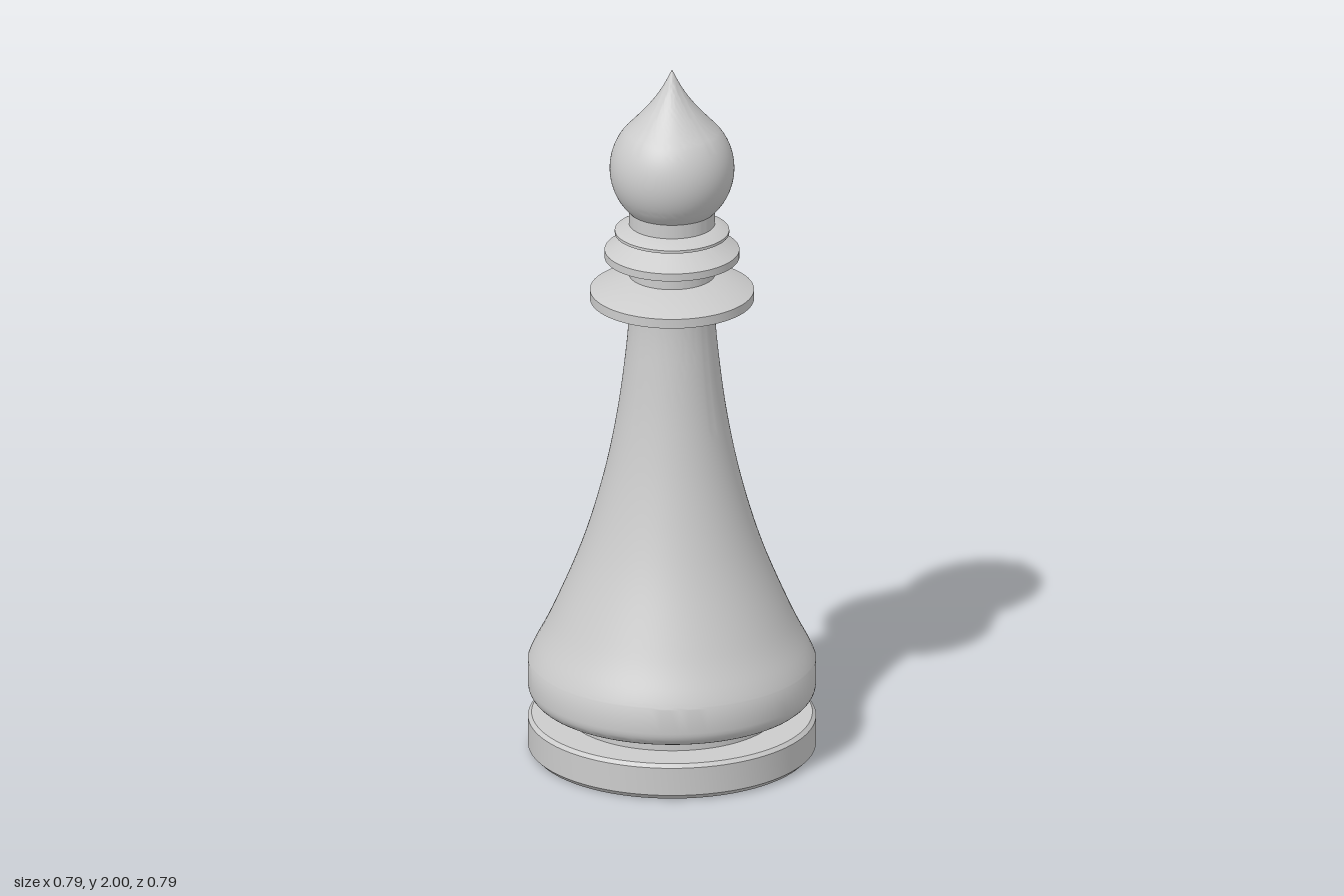
import * as THREE from 'three';
import { toCreasedNormals } from 'three/addons/utils/BufferGeometryUtils.js';

const SEGMENTS = 96;
const v = ([r, y]) => new THREE.Vector2(r, y);
const smooth = (points, n) => new THREE.SplineCurve(points.map(v)).getPoints(n);

export function createModel() {
  const model = new THREE.Group();
  model.name = 'chessBishop';
  const material = new THREE.MeshStandardMaterial({ color: 0xcccccc });

  // Turn a bottom-to-top profile around the y axis, keeping hard edges sharp
  function turn(name, profile) {
    const geometry = toCreasedNormals(new THREE.LatheGeometry(profile, SEGMENTS), 0.5);
    const mesh = new THREE.Mesh(geometry, material);
    mesh.name = name;
    model.add(mesh);
  }

  // Foot disc with small bevels
  turn('footDisc', [[0, 0], [0.38, 0], [0.395, 0.015], [0.395, 0.095], [0.385, 0.105], [0, 0.105]].map(v));

  // Recessed ring between foot and body
  turn('baseGroove', [[0.29, 0.1], [0.29, 0.155]].map(v));

  // Body: rounded lower rim, upright band, then a concave flare up to the collar
  const rim = [];
  for (let i = 0; i <= 8; i++) {
    const a = (i / 8) * Math.PI / 2;
    rim.push(v([0.35 + 0.045 * Math.sin(a), 0.195 - 0.045 * Math.cos(a)]));
  }
  const flare = smooth([[0.395, 0.265], [0.38, 0.3], [0.33, 0.4], [0.248, 0.6], [0.189, 0.8],
    [0.149, 1.0], [0.124, 1.2], [0.118, 1.3]], 40);
  turn('body', [v([0, 0.15]), ...rim, ...flare]);

  // Neck core running through the collars
  turn('neck', [[0.118, 1.29], [0.118, 1.6]].map(v));

  // Collars: inner radius, outer radius, then bottom, edge bottom, edge top, top
  const collars = [
    ['lowerCollar', 0.118, 0.225, 1.29, 1.325, 1.352, 1.397],
    ['middleCollar', 0.125, 0.185, 1.425, 1.448, 1.47, 1.505],
    ['upperCollar', 0.118, 0.157, 1.505, 1.519, 1.527, 1.547],
  ];
  for (const [name, inner, outer, y0, y1, y2, y3] of collars) {
    turn(name, [[0.1, y0], [inner, y0], [outer, y1], [outer, y2], [inner, y3], [0.1, y3]].map(v));
  }

  // Head: sphere that sweeps through an ogee into a pointed tip
  const ball = [];
  for (let i = 0; i <= 24; i++) {
    const a = THREE.MathUtils.lerp(-0.8, 0.7, i / 24);
    ball.push(v([0.171 * Math.cos(a), 1.71 + 0.171 * Math.sin(a)]));
  }
  const last = ball.pop();
  const tip = smooth([[last.x, last.y], [0.096, 1.857], [0.059, 1.9], [0.027, 1.947], [0, 2]], 20);
  turn('head', [v([0, ball[0].y]), ...ball, ...tip]);

  return model;
}
